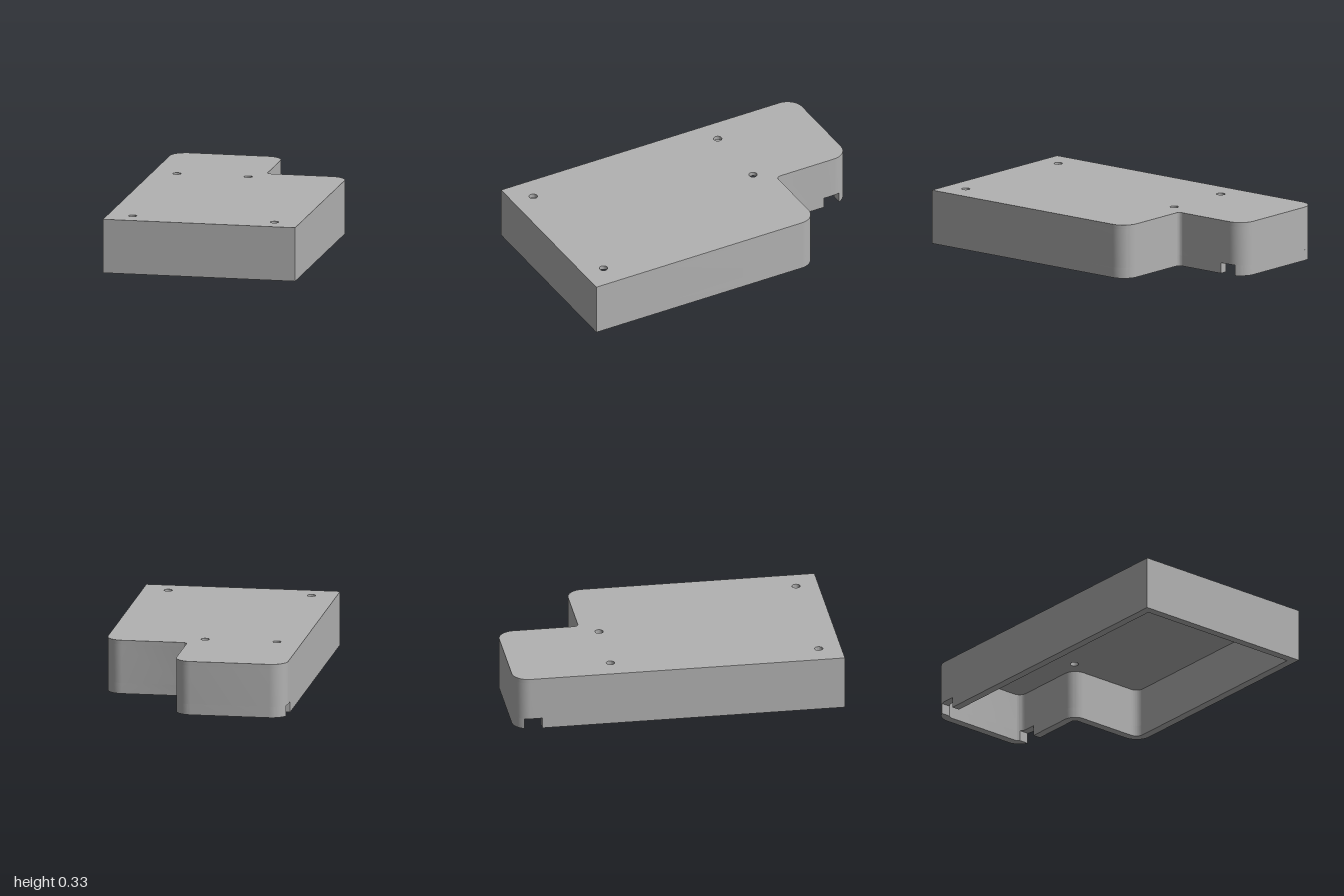
import * as THREE from 'three';
import { toCreasedNormals } from 'three/addons/utils/BufferGeometryUtils.js';

const HEIGHT = 0.327, ROOF = 0.025, WALL = 0.05;
const HALF = 0.587, STEP_X = 0.09, STEP_Y = 0.505; // plan coordinates: y points to the back
const R = 0.1, R_CONCAVE = 0.027;
const NOTCH_H = 0.065, NOTCH_FRONT = 0.83, NOTCH_BACK = 0.936;

// Points along an arc from angle a to angle b
function arc(cx, cy, r, a, b, n = 14) {
  return Array.from({ length: n + 1 }, (_, i) => {
    const t = a + (b - a) * i / n;
    return new THREE.Vector2(cx + r * Math.cos(t), cy + r * Math.sin(t));
  });
}

// Plan outline in front of the cable notches, moved inwards by t
function frontPath(t) {
  const x = HALF - t, c = STEP_X + R_CONCAVE;
  return [
    new THREE.Vector2(-x, NOTCH_FRONT),
    new THREE.Vector2(-x, t - 1),
    new THREE.Vector2(x, t - 1),
    ...arc(HALF - R, STEP_Y - R, R - t, 0, Math.PI / 2),
    ...arc(c, STEP_Y + R_CONCAVE, R_CONCAVE + t, -Math.PI / 2, -Math.PI),
    new THREE.Vector2(STEP_X - t, NOTCH_FRONT),
  ];
}

// Plan outline of the rounded back end, starting at height y
function backPath(t, y) {
  const a = Math.asin((y - (1 - R)) / (R - t));
  return [
    ...arc(STEP_X - R, 1 - R, R - t, a, Math.PI / 2),
    ...arc(R - HALF, 1 - R, R - t, Math.PI / 2, Math.PI - a),
  ];
}

const fullPath = (t) => [...frontPath(t), ...backPath(t, 1 - R)];
const strip = (path) => new THREE.Shape([...path(0), ...path(WALL).reverse()]);

export function createModel() {
  const model = new THREE.Group();
  model.name = 'enclosureCover';
  const grey = new THREE.MeshStandardMaterial({ color: 0xb2b2b2 });
  grey.name = 'grey';

  // Raise a plan shape from y0 to y1
  function slab(name, shape, y0, y1) {
    const geo = new THREE.ExtrudeGeometry(shape, { depth: y1 - y0, bevelEnabled: false, curveSegments: 16 });
    geo.rotateX(-Math.PI / 2);
    geo.translate(0, y0, 0);
    const mesh = new THREE.Mesh(toCreasedNormals(geo, 0.5), grey);
    mesh.name = name;
    model.add(mesh);
  }

  // Top plate with four screw holes
  const roof = new THREE.Shape(fullPath(0));
  for (const [x, y] of [[-0.435, 0.395], [0, 0.395], [-0.435, -0.865], [0.432, -0.865]]) {
    roof.holes.push(new THREE.Path().absarc(x, y, 0.025, 0, Math.PI * 2, true));
  }
  slab('topPlate', roof, HEIGHT - ROOF, HEIGHT);

  // Continuous wall above the notches
  const ring = new THREE.Shape(fullPath(0));
  ring.holes.push(new THREE.Path(fullPath(WALL)));
  slab('upperWall', ring, NOTCH_H, HEIGHT - ROOF);

  // Lower wall, split by a notch on each side
  slab('lowerFrontWall', strip(frontPath), 0, NOTCH_H);
  slab('lowerBackWall', strip((t) => backPath(t, NOTCH_BACK)), 0, NOTCH_H);

  return model;
}
